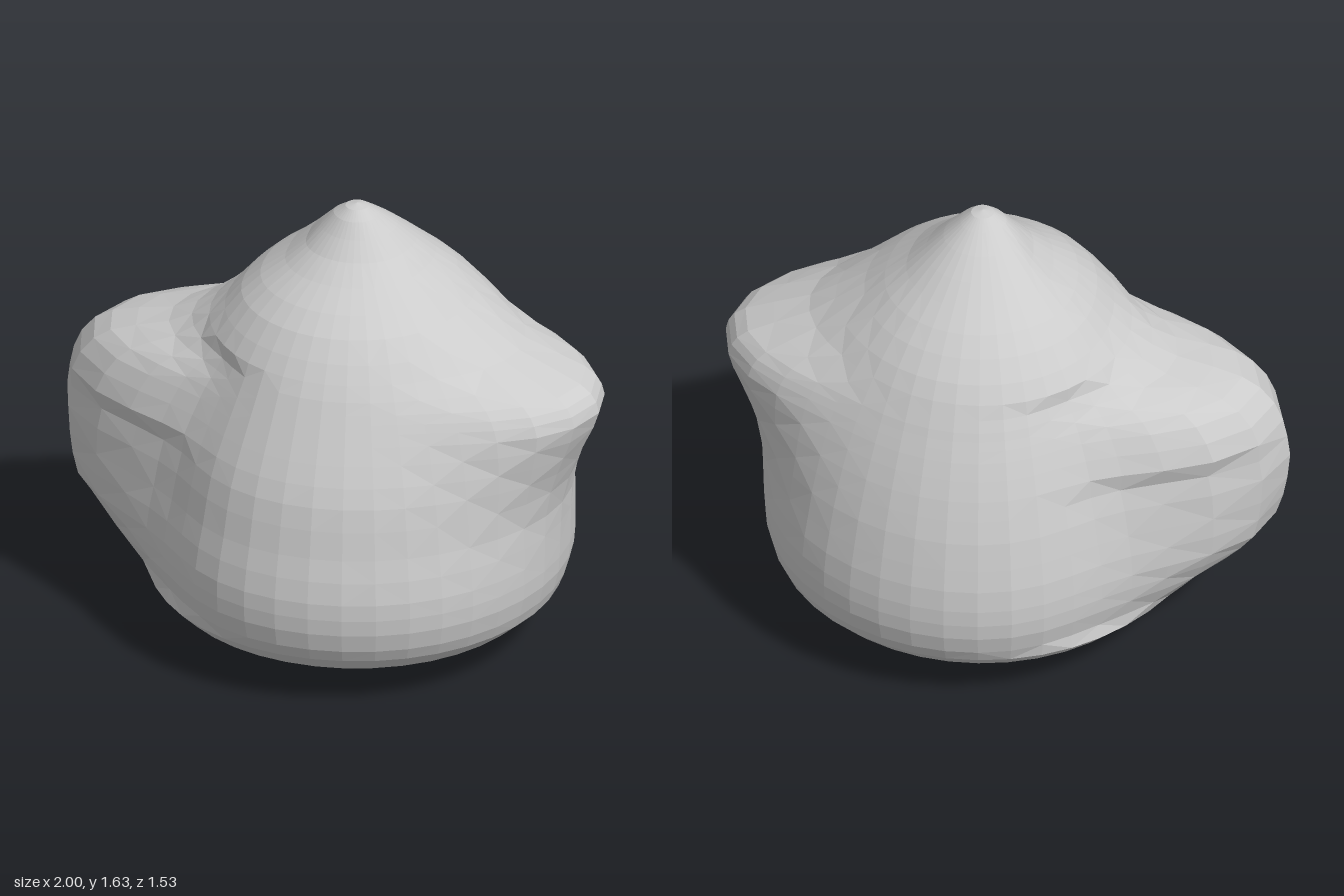
import * as THREE from 'three';

// Horizontal sections of the blob: [y, reach to -x, reach to +x, reach to front, reach to back]
const AXIS_X = 0.09;
const SECTIONS = [
  [0.015, 0.16, 0.16, 0.18, 0.18],
  [0.03, 0.29, 0.28, 0.33, 0.33],
  [0.08, 0.49, 0.5, 0.55, 0.55],
  [0.14, 0.65, 0.65, 0.66, 0.66],
  [0.2, 0.755, 0.72, 0.72, 0.72],
  [0.25, 0.825, 0.74, 0.745, 0.745],
  [0.32, 0.92, 0.757, 0.762, 0.762],
  [0.38, 0.985, 0.762, 0.766, 0.766],
  [0.44, 1.04, 0.764, 0.764, 0.764],
  [0.52, 1.065, 0.767, 0.75, 0.755],
  [0.6, 1.08, 0.772, 0.73, 0.738],
  [0.7, 1.09, 0.795, 0.71, 0.715],
  [0.78, 1.08, 0.825, 0.69, 0.69],
  [0.85, 1.065, 0.857, 0.663, 0.667],
  [0.92, 1.035, 0.89, 0.63, 0.64],
  [0.98, 0.985, 0.91, 0.6, 0.615],
  [1.02, 0.92, 0.9, 0.58, 0.597],
  [1.05, 0.82, 0.88, 0.565, 0.583],
  [1.08, 0.69, 0.84, 0.55, 0.57],
  [1.12, 0.6, 0.74, 0.53, 0.55],
  [1.17, 0.525, 0.61, 0.5, 0.525],
  [1.23, 0.46, 0.515, 0.46, 0.487],
  [1.3, 0.4, 0.41, 0.405, 0.43],
  [1.36, 0.335, 0.335, 0.335, 0.37],
  [1.42, 0.25, 0.255, 0.245, 0.3],
  [1.48, 0.18, 0.19, 0.17, 0.23],
  [1.54, 0.13, 0.13, 0.115, 0.155],
  [1.59, 0.085, 0.075, 0.075, 0.085],
  [1.62, 0.04, 0.04, 0.04, 0.04],
];
const SEGMENTS = 40;

const bump = (angle, width) => Math.exp(-0.5 * (angle / width) ** 2);

// Rounded core plus one side lobe in each x direction
function radiusAt([y, left, right, front, back], t) {
  const s = Math.sin(t);
  const core = (front + back) / 2 + (s * (front - back)) / 2;
  const offRight = Math.acos(Math.min(1, Math.max(-1, Math.cos(t))));
  const offLeft = Math.PI - offRight;
  const body = (front + back) / 2;
  const leftWidth = y > 0.8 ? 0.33 : 0.28;
  const hollow = 0.05 * body * bump(offLeft - 0.8, 0.25) * (y > 0.2 && y < 1.15 ? 1 : 0);
  return core + (left - body) * bump(offLeft, leftWidth) + (right - body) * bump(offRight, 0.38) - hollow;
}

function createBodyGeometry() {
  const positions = [AXIS_X, 0, 0];
  const index = [];
  for (const section of SECTIONS) {
    for (let i = 0; i < SEGMENTS; i++) {
      const t = (i / SEGMENTS) * Math.PI * 2;
      const r = radiusAt(section, t);
      positions.push(AXIS_X + r * Math.cos(t), section[0], r * Math.sin(t));
    }
  }
  positions.push(AXIS_X, 1.63, 0);
  const top = positions.length / 3 - 1;
  const at = (row, i) => 1 + row * SEGMENTS + (i % SEGMENTS);
  const last = SECTIONS.length - 1;
  for (let i = 0; i < SEGMENTS; i++) {
    index.push(0, at(0, i), at(0, i + 1));
    for (let row = 0; row < last; row++) {
      const a = at(row, i), b = at(row, i + 1), c = at(row + 1, i + 1), d = at(row + 1, i);
      // Alternate the diagonals for an even mesh
      if ((row + i) % 2) index.push(a, d, b, b, d, c);
      else index.push(a, d, c, a, c, b);
    }
    index.push(at(last, i), top, at(last, i + 1));
  }
  const geometry = new THREE.BufferGeometry();
  geometry.setAttribute('position', new THREE.Float32BufferAttribute(positions, 3));
  geometry.setIndex(index);
  geometry.computeVertexNormals();
  return geometry;
}

export function createModel() {
  const group = new THREE.Group();
  group.name = 'lobedBlob';
  const material = new THREE.MeshStandardMaterial({ color: 0xcccccc, flatShading: true });
  const body = new THREE.Mesh(createBodyGeometry(), material);
  body.name = 'body';
  group.add(body);
  return group;
}
